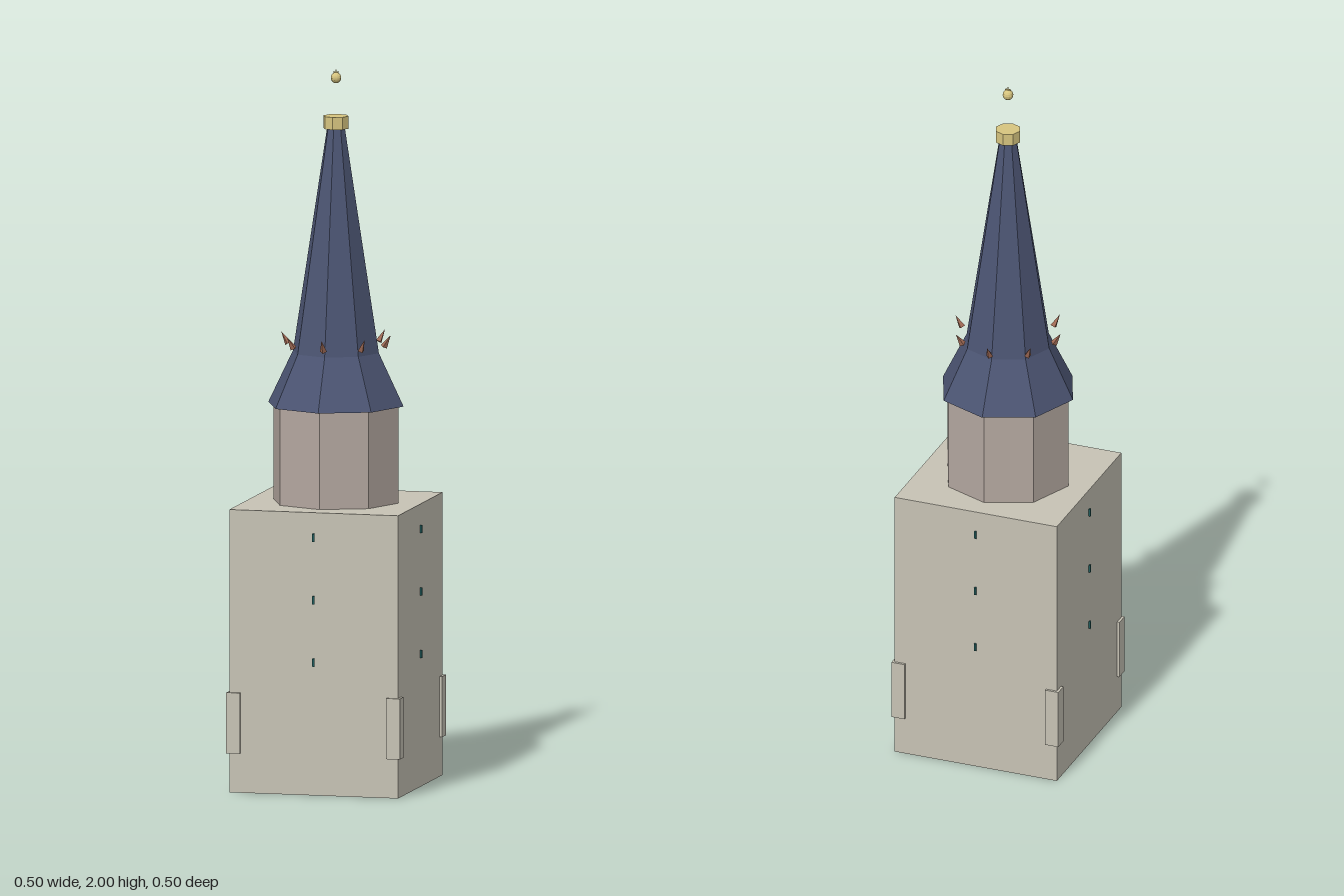
import * as THREE from 'three';

const paint = (color) => new THREE.MeshStandardMaterial({ color, flatShading: true });

export function createModel() {
  const tower = new THREE.Group();
  tower.name = 'tower';
  const stone = paint(0xc6c2b4), brick = paint(0xb3a79f), slate = paint(0x4c5573);
  const gold = paint(0xd6c47f), copper = paint(0xa06a55), glass = paint(0x1f5a5a);

  const add = (name, geometry, material, x, y, z, parent = tower) => {
    const mesh = new THREE.Mesh(geometry, material);
    mesh.name = name;
    mesh.position.set(x, y, z);
    parent.add(mesh);
    return mesh;
  };

  // Square shaft with a small buttress on each corner
  add('shaft', new THREE.BoxGeometry(0.484, 0.792, 0.484), stone, 0, 0.396, 0);
  const buttress = new THREE.BoxGeometry(0.039, 0.17, 0.039);
  for (const x of [-1, 1]) for (const z of [-1, 1]) {
    add('buttress', buttress, stone, x * 0.2295, 0.195, z * 0.2295);
  }

  // Three narrow windows up the middle of every side
  const slit = new THREE.BoxGeometry(0.006, 0.022, 0.01);
  for (let i = 0; i < 4; i++) {
    const side = new THREE.Group();
    side.name = 'windowColumn';
    side.rotation.y = i * Math.PI / 2;
    tower.add(side);
    for (const y of [0.372, 0.547, 0.722]) add('window', slit, glass, 0, y, 0.242, side);
  }

  // Octagonal drum
  add('drum', new THREE.CylinderGeometry(0.18, 0.18, 0.285, 8), brick, 0, 0.9275, 0);

  // Octagonal spire with flared eaves, closed underneath
  const profile = [[0, 1.063], [0.194, 1.063], [0.123, 1.21], [0.025, 1.84], [0, 1.84]]
    .map(([r, y]) => new THREE.Vector2(r, y));
  add('spire', new THREE.LatheGeometry(profile, 8), slate, 0, 0, 0);

  // Ring of outward-leaning spikes above the eaves
  const spike = new THREE.ConeGeometry(0.01, 0.038, 4);
  for (let i = 0; i < 8; i++) {
    const arm = new THREE.Group();
    arm.name = 'spikeArm';
    arm.rotation.y = i * Math.PI / 4;
    tower.add(arm);
    add('spike', spike, copper, 0, 1.245, 0.147, arm).rotation.x = 0.55;
  }

  // Gilded cap, with the ball and its small cross floating above
  add('cap', new THREE.CylinderGeometry(0.036, 0.036, 0.035, 8), gold, 0, 1.853, 0);
  add('ball', new THREE.SphereGeometry(0.015, 12, 8), gold, 0, 1.977, 0);
  add('crossUpright', new THREE.BoxGeometry(0.003, 0.02, 0.003), gold, 0, 1.99, 0);
  add('crossBar', new THREE.BoxGeometry(0.016, 0.003, 0.003), gold, 0, 1.993, 0);

  return tower;
}
